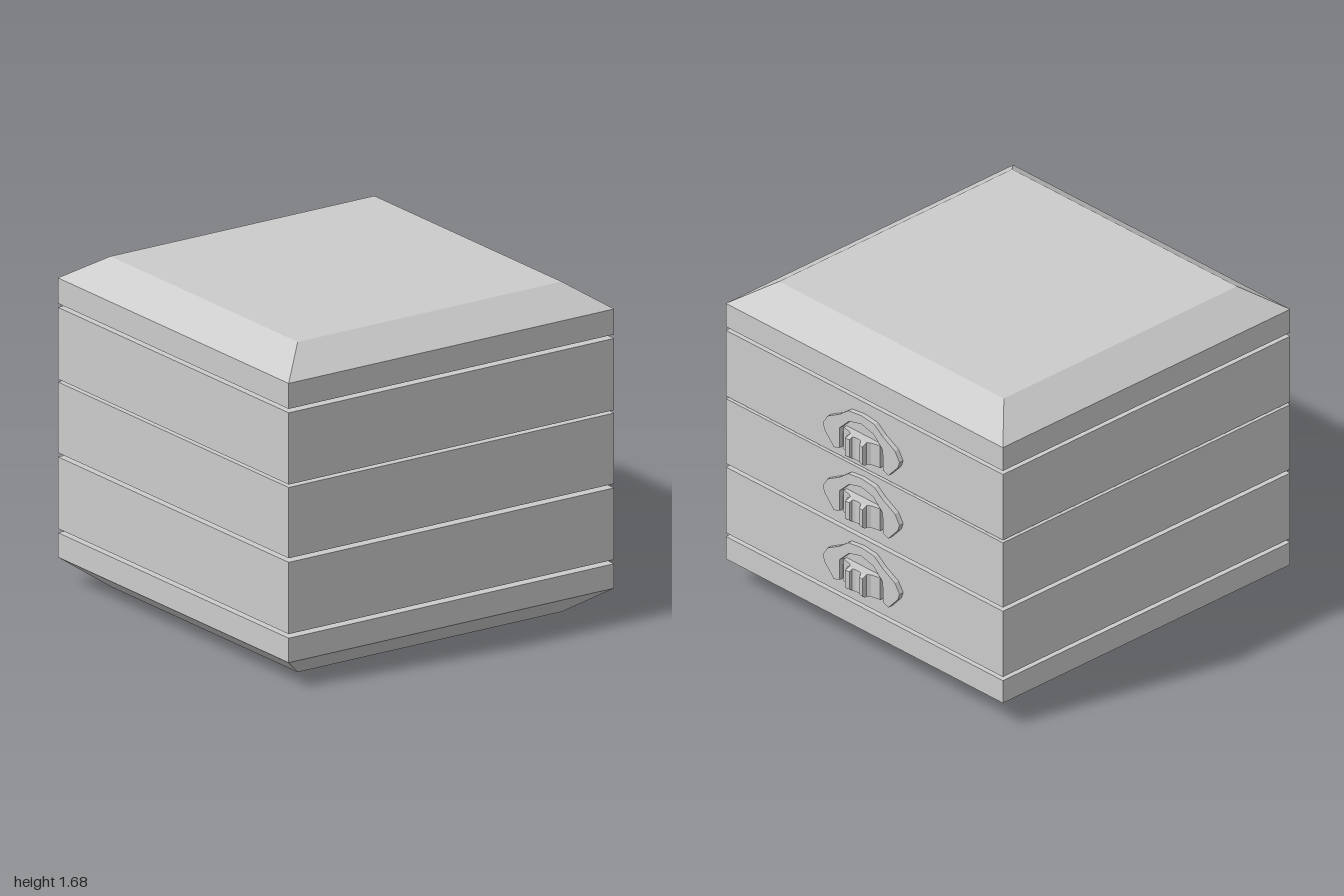
import * as THREE from 'three';

const material = new THREE.MeshStandardMaterial({ color: 0xcccccc, flatShading: true });
const X0 = -1, X1 = 0.925, Z = 0.965, INSET = 0.182;
const CX = (X0 + X1) / 2, W = X1 - X0;

function addMesh(parent, name, geometry, x = 0, y = 0, z = 0) {
  const mesh = new THREE.Mesh(geometry, material);
  mesh.name = name;
  mesh.position.set(x, y, z);
  parent.add(mesh);
  return mesh;
}

// Slab whose top tapers inward above a straight rim
function taperedSlab(rim, height) {
  const g = new THREE.BoxGeometry(W, height, 2 * Z, 1, 2, 1);
  const p = g.attributes.position;
  for (let i = 0; i < p.count; i++) {
    const y = p.getY(i);
    if (y > 0.001) {
      p.setX(i, p.getX(i) - Math.sign(p.getX(i)) * INSET);
      p.setZ(i, p.getZ(i) - Math.sign(p.getZ(i)) * INSET);
      p.setY(i, height);
    } else {
      p.setY(i, y < -0.001 ? 0 : rim);
    }
  }
  g.computeVertexNormals();
  return g;
}

// Arched backplate, drawn facing +x; y is measured from the top of the arch
function plateGeometry() {
  const half = [
    [0, 0], [0.09, -0.01], [0.15, -0.055], [0.235, -0.1], [0.267, -0.15],
    [0.255, -0.185], [0.19, -0.255], [0.152, -0.243],
    [0.15, -0.13], [0.085, -0.068], [0, -0.047],
  ];
  const mirrored = half.slice(1, -1).reverse().map(([u, v]) => [-u, v]);
  const shape = new THREE.Shape([...half, ...mirrored].map(([u, v]) => new THREE.Vector2(u, v)));
  const g = new THREE.ExtrudeGeometry(shape, { depth: 0.025, bevelEnabled: false });
  return g.rotateY(Math.PI / 2);
}

// Pull with two prongs around a rounded hollow, extruded upward and slimmer at the tip
function pullGeometry() {
  const half = [
    [0, 0.127], [0.02, 0.127], [0.03, 0.075], [0.044, 0.058], [0.058, 0.062],
    [0.075, 0.06], [0.07, 0.034], [0.056, 0.03], [0.05, 0.015],
  ];
  const mirrored = half.slice().reverse().map(([x, z]) => [x, -z]);
  const shape = new THREE.Shape([...half, ...mirrored].map(([x, z]) => new THREE.Vector2(x, z)));
  const g = new THREE.ExtrudeGeometry(shape, { depth: 0.122, bevelEnabled: false });
  g.rotateX(-Math.PI / 2).translate(0, -0.061, 0);
  const p = g.attributes.position;
  for (let i = 0; i < p.count; i++) {
    if (p.getX(i) > 0.06) p.setY(i, p.getY(i) * 0.8);
  }
  g.computeVertexNormals();
  return g;
}

export function createModel() {
  const model = new THREE.Group();
  model.name = 'drawerChest';

  // Base and lid are the same tapered slab, one flipped
  addMesh(model, 'lid', taperedSlab(0.13, 0.255), CX, 1.43, 0);
  const base = addMesh(model, 'base', taperedSlab(0.125, 0.26), CX, 0.26, 0);
  base.rotation.x = Math.PI;

  // Recessed spacers in the gaps between the layers
  for (const [bottom, top] of [[0.26, 0.281], [0.647, 0.668], [1.029, 1.044], [1.41, 1.43]]) {
    addMesh(model, 'spacer', new THREE.BoxGeometry(1.73, top - bottom, 1.495), -0.045, (bottom + top) / 2, 0.008);
  }

  // Drawers with backplate and pull on the +x side
  const plate = plateGeometry(), pull = pullGeometry();
  const drawers = [[0.281, 0.647, 0.612], [0.668, 1.029, 0.997], [1.044, 1.41, 1.348]];
  for (const [bottom, top, handleTop] of drawers) {
    const drawer = new THREE.Group();
    drawer.name = 'drawer';
    addMesh(drawer, 'drawerBox', new THREE.BoxGeometry(W, top - bottom, 2 * Z), CX, (bottom + top) / 2, 0);
    addMesh(drawer, 'handlePlate', plate, X1, handleTop, -0.004);
    addMesh(drawer, 'handlePull', pull, X1, handleTop - 0.18, -0.004);
    model.add(drawer);
  }
  return model;
}
